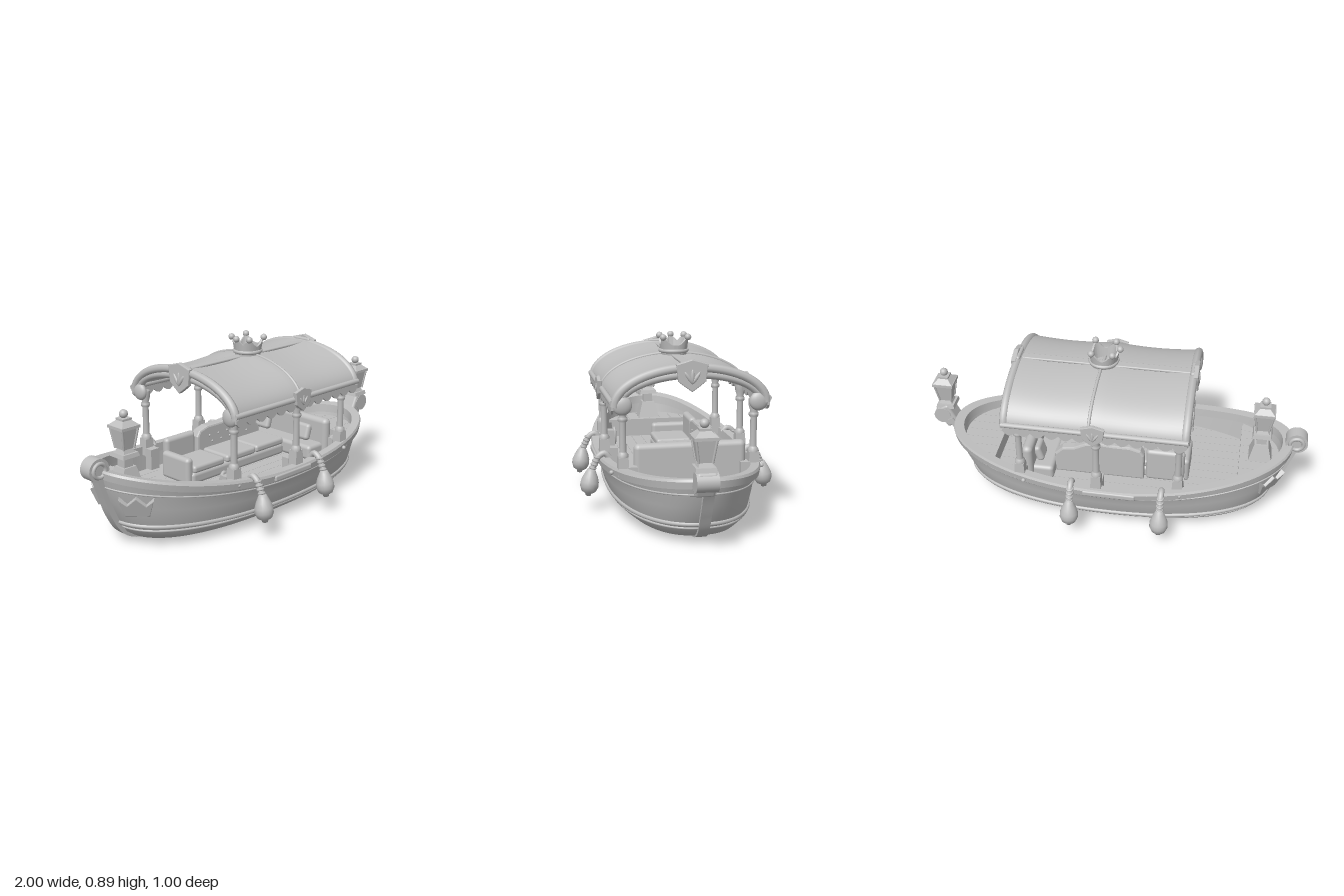
import * as THREE from 'three';
import { toCreasedNormals } from 'three/addons/utils/BufferGeometryUtils.js';
import { RoundedBoxGeometry } from 'three/addons/geometries/RoundedBoxGeometry.js';

const grey = new THREE.MeshStandardMaterial({ color: 0xbebebe, side: THREE.DoubleSide });
grey.name = 'plain grey';
const V = (x, y, z) => new THREE.Vector3(x, y, z);

function add(parent, name, geo, x = 0, y = 0, z = 0) {
  const m = new THREE.Mesh(geo, grey);
  m.name = name;
  m.position.set(x, y, z);
  parent.add(m);
  return m;
}
const tube = (pts, r, n = 32, closed = false) =>
  new THREE.TubeGeometry(new THREE.CatmullRomCurve3(pts, closed), n, r, 8, closed);
const lathe = (pts, n = 16) => new THREE.LatheGeometry(pts.map(p => new THREE.Vector2(p[0], p[1])), n);
const square = (top, bottom, h) => toCreasedNormals(
  new THREE.CylinderGeometry(top * Math.SQRT2, bottom * Math.SQRT2, h, 4).rotateY(Math.PI / 4), 0.4);
function plate(pts, depth, bevel = 0) {
  const s = new THREE.Shape(pts.map(p => new THREE.Vector2(p[0], p[1])));
  return new THREE.ExtrudeGeometry(s, { depth, bevelEnabled: bevel > 0, bevelSize: bevel, bevelThickness: bevel, bevelSegments: 2 })
    .translate(0, 0, -depth / 2);
}

// Skin over a stack of closed rings; each ring maps an angle to a point
function rings(levels, crease = 0.6, n = 96) {
  const pos = [], idx = [];
  levels.forEach((f, i) => {
    for (let j = 0; j <= n; j++) {
      pos.push(...f(j / n * Math.PI * 2).toArray());
      if (i < levels.length - 1 && j < n) {
        const a = i * (n + 1) + j, c = a + n + 1;
        idx.push(a, c, a + 1, a + 1, c, c + 1);
      }
    }
  });
  const g = new THREE.BufferGeometry();
  g.setAttribute('position', new THREE.Float32BufferAttribute(pos, 3));
  g.setIndex(idx);
  return toCreasedNormals(g, crease);
}

const sheer = x => 0.272 + x * x * (x < 0 ? 0.151 : 0.083);
function oval(x0, x1, b, height, p = 2.13) {
  const pw = c => Math.sign(c) * Math.abs(c) ** (2 / p);
  return t => {
    const x = (x0 + x1) / 2 + (x1 - x0) / 2 * pw(Math.cos(t));
    return V(x, height(x), b * pw(Math.sin(t)));
  };
}
const rise = f => x => 0.012 + (sheer(x) - 0.032) * f;
const ringTube = (f, r) => tube(Array.from({ length: 80 }, (_, i) => f(i / 80 * Math.PI * 2)), r, 160, true);

function buildHull(g) {
  const strake = oval(-0.83, 0.785, 0.343, rise(0.3), 2.3);
  add(g, 'hull', rings([
    oval(-0.01, 0.01, 0.005, rise(0)), oval(-0.69, 0.66, 0.24, rise(0), 2.4), oval(-0.75, 0.715, 0.29, rise(0.04), 2.4),
    oval(-0.793, 0.748, 0.32, rise(0.13), 2.35), strake, oval(-0.88, 0.83, 0.362, rise(0.6), 2.2),
    oval(-0.908, 0.858, 0.375, rise(0.82)), oval(-0.925, 0.877, 0.397, rise(1))], 0.8));
  add(g, 'innerHull', rings([oval(-0.88, 0.83, 0.365, rise(1)), oval(-0.85, 0.8, 0.345, rise(0.5), 2.2)]));
  const lip = (x0, x1, b, d) => oval(x0, x1, b, x => sheer(x) + d);
  const outer = lip(-0.927, 0.88, 0.402, -0.045);
  add(g, 'gunwale', rings([outer, lip(-0.932, 0.885, 0.408, -0.012), lip(-0.925, 0.878, 0.402, 0),
    lip(-0.874, 0.829, 0.36, 0), lip(-0.87, 0.825, 0.356, -0.045), outer], 0.5));
  add(g, 'rubbingStrake', ringTube(strake, 0.011));
  add(g, 'lowerStrake', ringTube(oval(-0.813, 0.768, 0.334, rise(0.22), 2.35), 0.006));
  add(g, 'upperStrake', ringTube(oval(-0.908, 0.858, 0.376, rise(0.82)), 0.005));

  // One band runs from the bow down along the keel and up the stern
  const path = new THREE.CatmullRomCurve3([[-0.945, 0.38], [-0.907, 0.27], [-0.862, 0.15], [-0.802, 0.06], [-0.71, 0.014], [-0.4, 0.013],
    [0.4, 0.013], [0.67, 0.014], [0.757, 0.06], [0.812, 0.15], [0.862, 0.25], [0.91, 0.33]].map(p => V(p[0], p[1], 0)));
  const up = [], down = [];
  for (let i = 0; i <= 80; i++) {
    const p = path.getPoint(i / 80), t = path.getTangent(i / 80);
    up.push([p.x - t.y * 0.018, p.y + t.x * 0.018]);
    down.unshift([p.x + t.y * 0.013, p.y - t.x * 0.013]);
  }
  add(g, 'stemAndKeel', toCreasedNormals(plate([...up, ...down], 0.052), 0.5));

  // Scrolls
  const scroll = (r, w) => new THREE.CylinderGeometry(r, r, w, 28).rotateX(Math.PI / 2);
  add(g, 'bowScroll', scroll(0.057, 0.07), -0.943, 0.405);
  for (const s of [-1, 1]) add(g, 'bowScrollRing', new THREE.TorusGeometry(0.034, 0.01, 8, 24), -0.943, 0.405, s * 0.036);
  add(g, 'sternScroll', scroll(0.046, 0.1), 0.95, 0.345, 0.03);
  add(g, 'sternBlock', new RoundedBoxGeometry(0.075, 0.13, 0.095, 3, 0.015), 0.925, 0.34, 0.03).rotation.z = -0.45;

  // Decks made of planks trimmed to the oval
  const deck = (name, x0, x1, y, a, b, step) => {
    for (let i = 0; i < step; i++) {
      const z0 = -b + 2 * b * i / step, z1 = z0 + 2 * b / step - 0.0015;
      const end = z => a * Math.max(0, 1 - Math.abs(z / b) ** 2.13) ** (1 / 2.13);
      const lo = z => Math.max(x0, -0.022 - end(z)), hi = z => Math.min(x1, -0.022 + end(z));
      const pts = [0, 1, 2, 3].map(k => z0 + (z1 - z0) * k / 3);
      if (pts.some(z => hi(z) <= lo(z))) continue;
      const poly = [...pts.map(z => [lo(z), -z]), ...pts.reverse().map(z => [hi(z), -z])];
      add(g, name, plate(poly, 0.016).rotateX(-Math.PI / 2), 0, y - 0.008, 0);
    }
  };
  deck('floorPlank', -0.68, 0.62, 0.185, 0.83, 0.347, 12);
  deck('foreDeckPlank', -0.86, -0.665, 0.285, 0.865, 0.375, 12);
  deck('aftDeckPlank', 0.615, 0.82, 0.265, 0.865, 0.375, 12);
  add(g, 'foreStep', new THREE.BoxGeometry(0.015, 0.11, 0.46), -0.667, 0.23);
  add(g, 'aftStep', new THREE.BoxGeometry(0.015, 0.09, 0.47), 0.618, 0.22);

  for (const s of [-1, 1]) {
    add(g, 'railPlate', new RoundedBoxGeometry(0.27, 0.03, 0.02, 2, 0.008), -0.025, 0.25, s * 0.402);
    for (const x of [-0.38, 0.42]) add(g, 'railStud', new THREE.SphereGeometry(0.011, 10, 8), x, sheer(x) - 0.025, s * 0.372);
    // Crown ornament on the bow
    const crest = [[-0.055, -0.045], [0.055, -0.045], [0.08, 0.045], [0.045, 0.01], [0, 0.055], [-0.045, 0.01], [-0.08, 0.045]];
    const c = add(g, 'bowCrest', plate(crest, 0.02, 0.004), -0.822, 0.225, s * 0.148);
    c.rotation.set(0.35, s > 0 ? -0.85 : Math.PI + 0.85, 0, 'YXZ');
  }
}

function lantern(g, name, x, y, z) {
  const l = new THREE.Group();
  l.name = name;
  l.position.set(x, y, z);
  g.add(l);
  add(l, 'foot', square(0.045, 0.05, 0.02), 0, 0.01);
  add(l, 'neck', square(0.026, 0.034, 0.02), 0, 0.03);
  add(l, 'glassBody', square(0.046, 0.031, 0.1), 0, 0.09);
  for (const a of [-1, 1]) for (const b of [-1, 1])
    add(l, 'cornerBar', tube([V(a * 0.031, 0.04, b * 0.031), V(a * 0.046, 0.14, b * 0.046)], 0.006, 2));
  add(l, 'eave', square(0.055, 0.055, 0.014), 0, 0.147);
  add(l, 'roof', square(0.024, 0.052, 0.025), 0, 0.166);
  add(l, 'cap', square(0.027, 0.027, 0.01), 0, 0.183);
  add(l, 'finial', new THREE.SphereGeometry(0.021, 16, 12), 0, 0.207);
}

function buildCanopy(g) {
  // Posts
  const post = lathe([[0.026, 0], [0.026, 0.014], [0.019, 0.024], [0.017, 0.03], [0.016, 0.17], [0.024, 0.18], [0.024, 0.192], [0.017, 0.2], [0.026, 0.23], [0.026, 0.26]]);
  for (const s of [-1, 1]) for (const [x, z] of [[-0.365, 0.324], [0.043, 0.36], [0.445, 0.32]]) {
    add(g, 'postPedestal', square(0.024, 0.028, 0.09), x, 0.297, s * z);
    add(g, 'postFoot', new THREE.BoxGeometry(0.056, 0.12, 0.045), x, 0.235, s * (z - 0.045));
    add(g, 'post', post, x, 0.34, s * z);
  }
  // Cloth, sagging a little between its end frames
  const arch = (x, a, rz, ry, y0) => V(x, y0 + ry * Math.sin(a), rz * Math.cos(a));
  const cloth = new THREE.PlaneGeometry(1, 1, 24, 40), p = cloth.attributes.position;
  for (let i = 0; i < p.count; i++) {
    const u = p.getX(i) + 0.5, a = (p.getY(i) + 0.5) * Math.PI, sag = 0.016 * Math.abs(Math.sin(u * Math.PI * 2));
    const q = arch(-0.405 + u * 0.91, a, 0.378 - sag * 0.5, 0.187 - sag, 0.595);
    p.setXYZ(i, q.x, q.y, q.z);
  }
  cloth.computeVertexNormals();
  add(g, 'canopyCloth', cloth);
  const hoop = (x, r, rz, ry, dx = 0) => tube(Array.from({ length: 25 }, (_, i) => arch(x + dx * Math.cos(i / 24 * Math.PI), i / 24 * Math.PI, rz, ry, 0.595)), r, 48);
  for (const [x, s] of [[-0.395, -1], [0.5, 1]]) {
    add(g, 'endHoop', hoop(x, 0.022, 0.365, 0.175));
    add(g, 'innerHoop', hoop(x - s * 0.008, 0.02, 0.345, 0.142));
    for (const z of [-0.328, 0.328])
      add(g, 'hoopRosette', new THREE.SphereGeometry(0.046, 20, 14).scale(0.5, 1, 1), x, 0.6, z);
    shield(g, x + s * 0.013, 0.735, 0, s * Math.PI / 2, 1.03);
    add(g, 'ridgeEnd', new RoundedBoxGeometry(0.03, 0.025, 0.11, 2, 0.01), x, 0.785);
  }
  add(g, 'middleSeam', hoop(0.065, 0.008, 0.378, 0.187, -0.012));
  add(g, 'ridgeSeam', new RoundedBoxGeometry(0.88, 0.014, 0.045, 2, 0.006), 0.05, 0.773);

  // Scalloped valance and side rails
  const edge = [[0.505, 0.045], [-0.405, 0.045]], n = 13, w = 0.91 / n;
  for (let i = 0; i < n; i++) for (let k = 0; k < 6; k++)
    edge.push([-0.405 + (i + k / 6) * w, -0.024 * Math.sin(k / 6 * Math.PI)]);
  edge.push([0.505, 0]);
  for (const s of [-1, 1]) {
    add(g, 'valance', plate(edge, 0.012), 0, 0.58, s * 0.376);
    add(g, 'sideRail', new THREE.CylinderGeometry(0.014, 0.014, 0.92, 10).rotateZ(Math.PI / 2), 0.05, 0.615, s * 0.376);
    shield(g, 0.053, 0.612, s * 0.388, s > 0 ? 0 : Math.PI, 0.8);
  }

  // Crown on the ridge: a flared wall whose rim rises to five points
  const tips = [180, 50, -50, 130, -130].map(d => d * Math.PI / 180);
  const peak = t => Math.max(...tips.map(a => Math.max(0, Math.cos(t - a)) ** 14));
  const wall = (r, y, flare, lift) => t => V((r + flare * peak(t)) * Math.cos(t), y + lift * peak(t), (r + flare * peak(t)) * Math.sin(t));
  add(g, 'crownWall', rings([wall(0.066, 0, 0, 0), wall(0.07, 0.05, 0.011, 0.035), wall(0.06, 0.05, 0.011, 0.035), wall(0.054, 0, 0, 0)]), 0.062, 0.775);
  add(g, 'crownBand', new THREE.TorusGeometry(0.068, 0.01, 8, 32).rotateX(Math.PI / 2), 0.062, 0.795);
  for (const a of tips)
    add(g, 'crownBall', new THREE.SphereGeometry(0.017, 14, 10), 0.062 + Math.cos(a) * 0.083, 0.866, Math.sin(a) * 0.083);
}

function shield(g, x, y, z, turn, size) {
  const s = new THREE.Group();
  s.name = 'shield';
  s.position.set(x, y, z);
  s.rotation.y = turn;
  s.scale.setScalar(size);
  g.add(s);
  add(s, 'shieldPlate', plate([[-0.07, 0.05], [-0.035, 0.06], [0, 0.07], [0.035, 0.06], [0.07, 0.05], [0.06, -0.025], [0.035, -0.045], [0, -0.07], [-0.035, -0.045], [-0.06, -0.025]], 0.016, 0.004));
  for (const a of [-0.6, 0, 0.6]) {
    const leaf = new THREE.SphereGeometry(0.012, 10, 8).scale(0.8, 3, 0.8).translate(0, 0.03, 0).rotateZ(a);
    add(s, 'shieldLeaf', leaf, 0, -0.035, 0.009);
  }
}

function buildSeats(g) {
  const cushion = (name, w, h, d, x, y, z, r = 0.02) => add(g, name, new RoundedBoxGeometry(w, h, d, 3, r), x, y, z);
  // Sofa facing the near rail, with a curved back
  const back = [[-0.225, 0], [0.225, 0], [0.225, 0.1], [0.19, 0.135], [0.13, 0.145], [0.07, 0.175], [0, 0.185], [-0.07, 0.18], [-0.16, 0.18], [-0.21, 0.165], [-0.225, 0.14]];
  add(g, 'sofaBack', plate(back, 0.035, 0.01), 0.06, 0.2, -0.16);
  for (let r = 0; r < 2; r++) for (let i = 0; i < 5; i++)
    add(g, 'sofaButton', new THREE.SphereGeometry(0.007, 8, 6), -0.07 + i * 0.065 - r * 0.02, 0.3 + r * 0.035, -0.134);
  cushion('sofaBase', 0.68, 0.065, 0.2, -0.04, 0.21, -0.05);
  for (const x of [-0.26, -0.03, 0.19]) cushion('sofaCushion', 0.215, 0.04, 0.19, x, 0.255, -0.045, 0.015);
  // Rounded corner at the sofa's bow end
  cushion('cornerBack', 0.2, 0.19, 0.045, -0.285, 0.285, -0.16);
  cushion('sofaArm', 0.045, 0.14, 0.2, -0.385, 0.25, -0.06);
  // Bench across the stern end
  cushion('benchBack', 0.055, 0.215, 0.55, 0.42, 0.29, -0.01, 0.026);
  cushion('benchSeat', 0.12, 0.08, 0.5, 0.35, 0.225, -0.01);
  for (const z of [-0.17, 0.12]) cushion('pillow', 0.04, 0.09, 0.1, 0.375, 0.31, z, 0.018).rotation.z = -0.3;
}

function buildFenders(g) {
  const pear = lathe([[0, -0.075], [0.014, -0.07], [0.016, -0.06], [0.036, -0.048], [0.047, -0.022], [0.046, 0.002], [0.037, 0.03], [0.025, 0.055], [0.018, 0.068], [0, 0.075]], 20);
  for (const s of [-1, 1]) for (const x of [-0.29, 0.17]) {
    add(g, 'fender', pear, x, 0.15, s * 0.452).rotation.x = -s * 0.14;
    add(g, 'fenderRope', tube([V(x, 0.27, s * 0.35), V(x, 0.295, s * 0.375), V(x, 0.28, s * 0.405), V(x, 0.25, s * 0.422), V(x, 0.21, s * 0.441)], 0.016, 20));
    for (let i = 0; i < 4; i++)
      add(g, 'ropeTwist', new THREE.TorusGeometry(0.014, 0.006, 6, 12), x, 0.222 + i * 0.018, s * (0.436 - i * 0.008)).rotation.x = 1.3;
  }
  add(g, 'ropeLoop', new THREE.TorusGeometry(0.028, 0.009, 8, 20).scale(0.8, 1.4, 1), -0.365, 0.26, 0.255);
}

export function createModel() {
  const g = new THREE.Group();
  g.name = 'canopyBoat';
  buildHull(g);
  add(g, 'lanternPedestal', square(0.036, 0.06, 0.09), -0.765, 0.33);
  add(g, 'lanternCollar', square(0.026, 0.026, 0.06), -0.765, 0.4);
  lantern(g, 'bowLantern', -0.765, 0.425, 0);
  lantern(g, 'sternLantern', 0.932, 0.392, 0.036);
  buildCanopy(g);
  buildSeats(g);
  buildFenders(g);
  return g;
}
